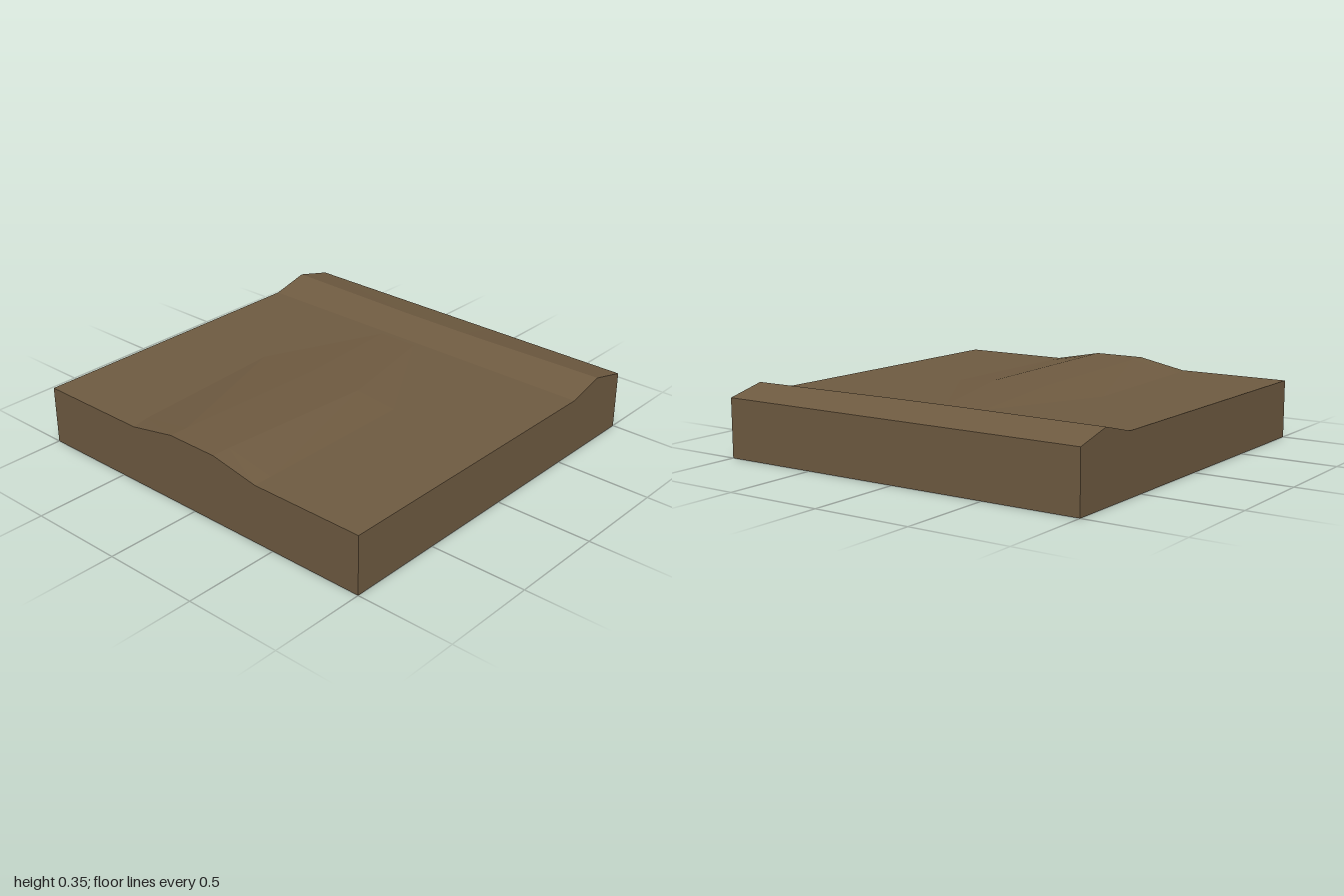
import * as THREE from 'three';

export function createModel() {
  const group = new THREE.Group();
  const earth = new THREE.MeshStandardMaterial({ color: 0x6f5b41, flatShading: true });

  // Cross-sections from back to front: z, height of outer ground, height of mound crest,
  // mound foot and crest positions from right to left, and how far the middle shifts in z.
  const sections = [
    { z: -1, y: 0.3, crest: 0.3, xs: [0.2, 0.1, -0.05, -0.2] },
    { z: -0.8, y: 0.35, crest: 0.35, xs: [0.2, 0.1, -0.05, -0.2], shift: 0.02 },
    { z: -0.6, y: 0.3, crest: 0.3, xs: [0.2, 0.02, -0.02, -0.2] },
    { z: -0.57, y: 0.3, crest: 0.3, xs: [0.2, 0.02, -0.02, -0.2] },
    { z: 0.05, y: 0.3, crest: 0.323, xs: [0.4, 0.17, -0.14, -0.47] },
    { z: 0.9, y: 0.3, crest: 0.348, xs: [0.4, 0.14, -0.14, -0.42] },
    { z: 1, y: 0.3, crest: 0.35, xs: [0.4, 0.14, -0.14, -0.4] },
  ];
  const rings = sections.map(({ z, y, crest, xs, shift = 0 }) => [
    [1, 0, z], [1, y, z],
    ...xs.map((x, i) => [x, i === 1 || i === 2 ? crest : y, z + shift]),
    [-1, y, z], [-1, 0, z],
  ]);

  const n = rings[0].length;
  const index = [];
  // Skin between neighbouring sections, including the underside
  for (let s = 0; s < rings.length - 1; s++) {
    for (let i = 0; i < n; i++) {
      const j = (i + 1) % n;
      const a = s * n, b = a + n;
      index.push(b + i, a + i, a + j, b + i, a + j, b + j);
    }
  }
  // Back and front walls
  const front = (rings.length - 1) * n;
  for (let i = 1; i < n - 1; i++) {
    index.push(0, i + 1, i, front, front + i, front + i + 1);
  }

  const geometry = new THREE.BufferGeometry();
  geometry.setAttribute('position', new THREE.Float32BufferAttribute(rings.flat(2), 3));
  geometry.setIndex(index);
  const faceted = geometry.toNonIndexed();
  faceted.computeVertexNormals();

  earth.name = 'earthBrown';
  const tile = new THREE.Mesh(faceted, earth);
  tile.name = 'groundTile';
  group.add(tile);
  return group;
}
